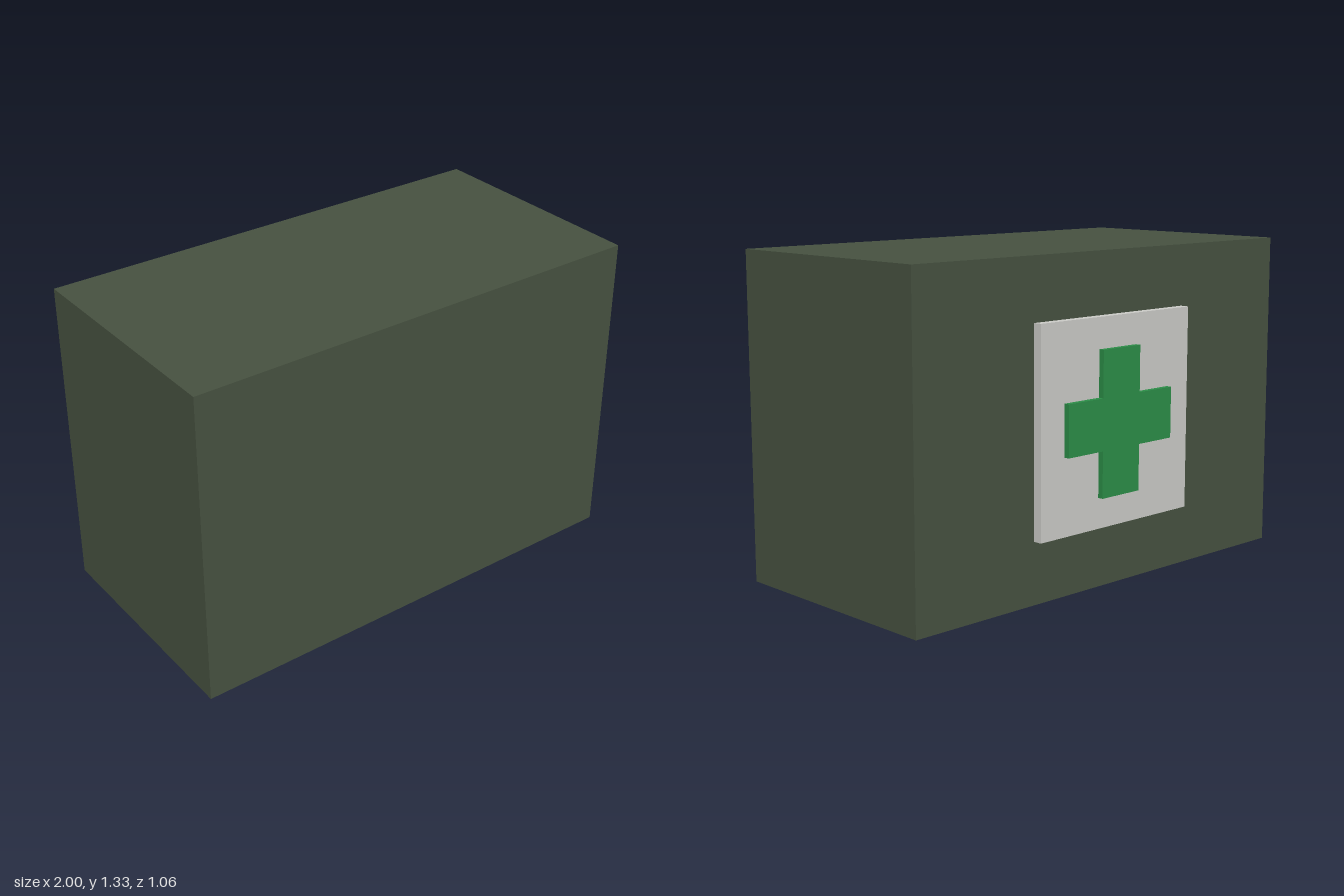
import * as THREE from 'three';

export function createModel() {
  const group = new THREE.Group();
  const material = (name, color) => {
    const m = new THREE.MeshStandardMaterial({ color });
    m.name = name;
    return m;
  };
  const olive = material('olive green', 0x465140);
  const offWhite = material('off white', 0xcacac6);
  const green = material('green', 0x2b8c47);
  const midY = 0.667;

  const add = (name, geometry, mat, y, z) => {
    const mesh = new THREE.Mesh(geometry, mat);
    mesh.name = name;
    mesh.position.set(0, y, z);
    group.add(mesh);
  };

  // Case
  add('caseBody', new THREE.BoxGeometry(2, 1.333, 1), olive, midY - 0.0005, 0.03);

  // Raised square panel on the back
  add('backPanel', new THREE.BoxGeometry(0.833, 0.833, 0.037), offWhite, midY, -0.4885);

  // Cross on the panel: four arms, each given by its three outer corners
  const reach = 0.292, half = 0.104;
  const points = [];
  for (let i = 0; i < 4; i++) {
    for (const [x, y] of [[reach, -half], [reach, half], [half, half]]) {
      points.push(new THREE.Vector2(x, y).rotateAround(new THREE.Vector2(), i * Math.PI / 2));
    }
  }
  const cross = new THREE.ExtrudeGeometry(new THREE.Shape(points), { depth: 0.023, bevelEnabled: false });
  add('cross', cross, green, midY, -0.53);

  return group;
}
